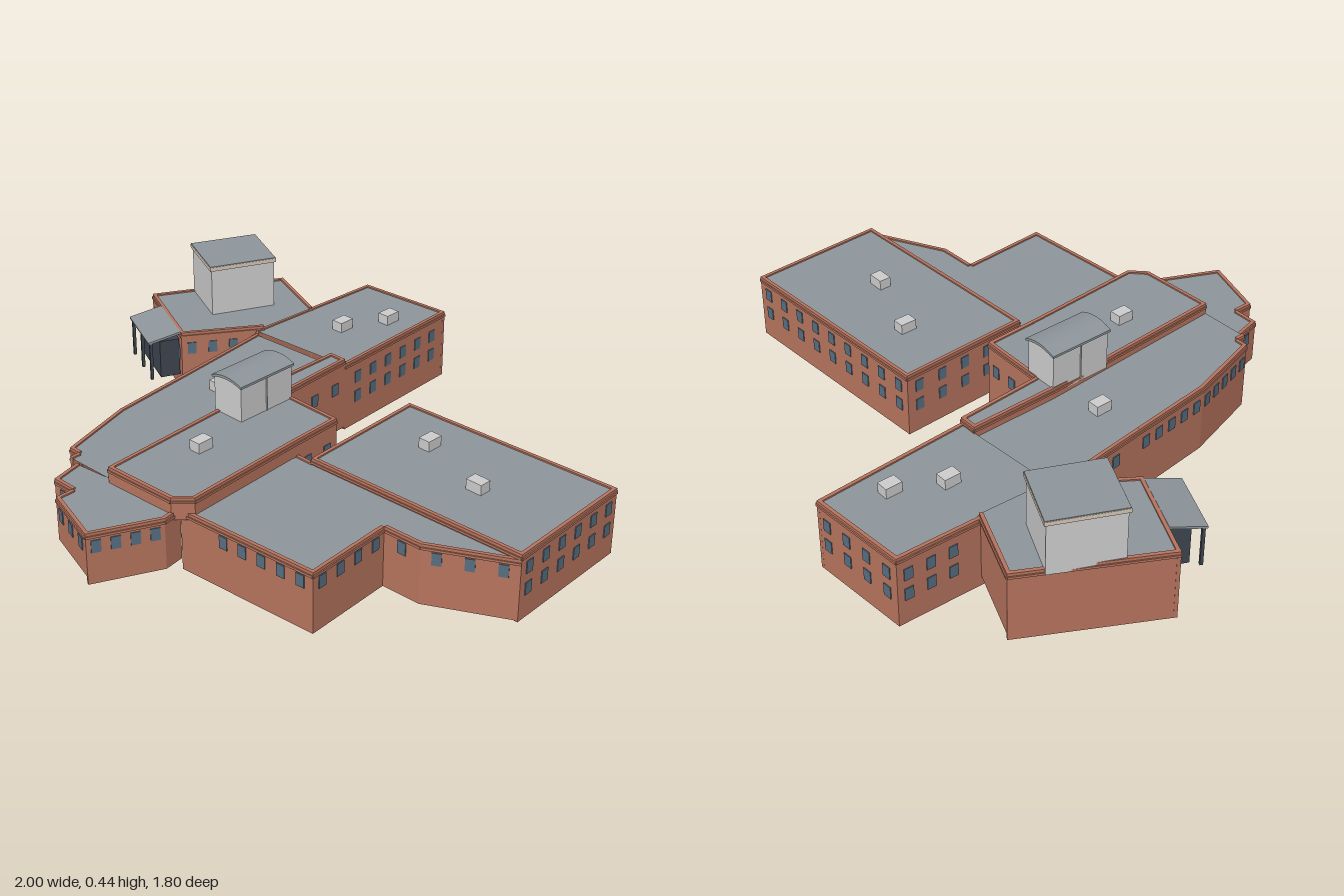
import * as THREE from 'three';

const mat = (color) => new THREE.MeshStandardMaterial({ color, side: THREE.DoubleSide, flatShading: true });
const BRICK = mat(0xb5735d), ROOF = mat(0x8d959a), GLASS = mat(0x566d80);
const GREY = mat(0xcccccc), TRIM = mat(0xd2c4b4), DARK = mat(0x3c444e);
const T = 0.012; // wall thickness

function add(parent, name, geometry, material, x = 0, y = 0, z = 0) {
  const m = new THREE.Mesh(geometry, material);
  m.name = name;
  m.position.set(x, y, z);
  parent.add(m);
  return m;
}
const box = (w, h, d) => new THREE.BoxGeometry(w, h, d);

// plan outline (x, z) as a shape that lies flat after rotateX(-90 degrees)
const planShape = (pts) => new THREE.Shape(pts.map(([x, z]) => new THREE.Vector2(x, -z)));

// upright prism over a plan outline
function prism(parent, name, pts, y0, y1, material) {
  const g = new THREE.ExtrudeGeometry(planShape(pts), { depth: y1 - y0, bevelEnabled: false });
  return add(parent, name, g.rotateX(-Math.PI / 2), material, 0, y0, 0);
}

// outline scaled about its centre
function scaled(pts, s) {
  const cx = pts.reduce((a, p) => a + p[0], 0) / pts.length;
  const cz = pts.reduce((a, p) => a + p[1], 0) / pts.length;
  return pts.map(([x, z]) => [cx + (x - cx) * s, cz + (z - cz) * s]);
}

// hollow wing: brick walls per edge, flat roof just below the wall tops, rows of windows
// windows[edge] = [count, [row heights], start, end]
function wing(parent, { name, pts, base, top, bases = {}, skip = [], windows = {} }) {
  const g = new THREE.Group();
  g.name = name;
  parent.add(g);
  const roof = new THREE.ShapeGeometry(planShape(pts)).rotateX(-Math.PI / 2);
  add(g, 'roof', roof, ROOF, 0, top - 0.005, 0);
  pts.forEach(([ax, az], i) => {
    if (skip.includes(i)) return;
    const [bx, bz] = pts[(i + 1) % pts.length];
    const len = Math.hypot(bx - ax, bz - az);
    const y0 = bases[i] ?? base;
    const side = new THREE.Group();
    side.name = 'side';
    side.position.set(ax, 0, az);
    side.rotation.y = -Math.atan2(bz - az, bx - ax);
    g.add(side);
    add(side, 'wall', box(len, top - y0, T), BRICK, len / 2, (top + y0) / 2, T / 2);
    add(side, 'cornice', box(len, 0.008, 0.006), BRICK, len / 2, top - 0.014, -0.001);
    const [n, rows, t0 = 0, t1 = 1] = windows[i] ?? [0, []];
    for (const y of rows)
      for (let k = 0; k < n; k++)
        add(side, 'window', box(0.03, 0.042, 0.004), GLASS, len * (t0 + ((k + 0.5) / n) * (t1 - t0)), y, -0.001);
  });
}

export function createModel() {
  const model = new THREE.Group();
  model.name = 'building';
  const two = [0.185, 0.112], one = [0.178];

  wing(model, {
    name: 'northWing', base: 0.005, top: 0.255, skip: [2],
    pts: [[-0.512, -0.88], [-0.163, -0.905], [-0.135, -0.36], [-0.535, -0.335]],
    windows: { 0: [4, two], 1: [6, two, 0.06, 0.95], 3: [3, two, 0.58, 1] },
  });
  wing(model, {
    name: 'westWing', base: 0, top: 0.24, skip: [0, 1, 2, 3],
    pts: [[-0.535, -0.335], [-0.2, -0.35], [-0.2, -0.05], [-0.157, 0.652], [-0.335, 0.655],
      [-0.335, 0.622], [-0.377, 0.622], [-0.457, 0.35], [-0.49, 0.05]],
    bases: { 4: 0.05 },
    windows: { 6: [5, one], 7: [5, one], 8: [5, one, 0.2, 1] },
  });
  wing(model, {
    name: 'middleBlock', base: 0.015, top: 0.275,
    pts: [[-0.2, -0.36], [-0.135, -0.36], [-0.117, -0.05], [0.125, -0.045], [0.132, 0.135],
      [0.16, 0.59], [0.11, 0.64], [-0.157, 0.652], [-0.2, -0.05]],
    bases: { 0: 0.22, 4: 0.2, 5: 0.2, 6: 0.2, 7: 0.21, 8: 0.21 },
    windows: { 1: [3, one], 2: [3, one], 3: [2, one] },
  });
  wing(model, {
    name: 'southBlock', base: 0.075, top: 0.225, skip: [0, 7],
    pts: [[-0.31, 0.65], [0.11, 0.604], [0.12, 0.674], [0.02, 0.89], [-0.2, 0.82], [-0.2, 0.757], [-0.285, 0.757]],
    bases: { 1: 0.05, 2: 0.05 },
    windows: { 2: [4, one], 3: [3, one], 5: [1, one], 6: [1, one] },
  });
  wing(model, {
    name: 'eastWing', base: 0.01, top: 0.24, bases: { 2: 0.2 },
    pts: [[0.18, -0.33], [0.97, -0.367], [0.993, 0.115], [0.2, 0.145]],
    windows: { 0: [9, two], 1: [6, two], 3: [5, two] },
  });
  wing(model, {
    name: 'southEastBlock', base: 0.015, top: 0.222, skip: [1, 6],
    pts: [[0.135, 0.135], [0.2, 0.135], [0.993, 0.115], [0.735, 0.25], [0.6, 0.255], [0.62, 0.57], [0.115, 0.607]],
    windows: { 2: [3, one], 3: [1, one], 4: [4, one], 5: [5, one, 0.02, 0.74] },
  });
  wing(model, {
    name: 'cornerHall', base: 0.04, top: 0.265, skip: [1], bases: { 4: 0.02 },
    pts: [[-0.76, -0.69], [-0.51, -0.588], [-0.522, -0.36], [-0.685, -0.12], [-0.995, -0.262]],
    windows: { 2: [4, [0.205]], 3: [5, one] },
  });

  // tower on the corner hall with a projecting cap
  const tower = [[-0.82, -0.61], [-0.618, -0.515], [-0.72, -0.295], [-0.925, -0.39]];
  prism(model, 'tower', scaled(tower, 0.95), 0.25, 0.43, GREY);
  prism(model, 'towerCap', tower, 0.428, 0.442, TRIM);
  prism(model, 'towerRoof', scaled(tower, 0.99), 0.442, 0.445, ROOF);

  // penthouse with a gently arched roof, running front to back
  const house = new THREE.Shape();
  house.moveTo(-0.06, 0.25).lineTo(0.06, 0.25).lineTo(0.06, 0.39);
  house.quadraticCurveTo(0, 0.415, -0.06, 0.39);
  const lid = new THREE.Shape();
  lid.moveTo(-0.066, 0.388).quadraticCurveTo(0, 0.414, 0.066, 0.388).lineTo(0.066, 0.396);
  lid.quadraticCurveTo(0, 0.425, -0.066, 0.396);
  const run = (s, depth) => new THREE.ExtrudeGeometry(s, { depth, bevelEnabled: false, curveSegments: 6 });
  add(model, 'penthouse', run(house, 0.222), GREY, -0.136, 0, -0.046);
  add(model, 'penthouseRoof', run(lid, 0.234), ROOF, -0.136, 0, -0.052);
  add(model, 'penthouseSeam', box(0.126, 0.13, 0.004), GREY, -0.136, 0.325, 0.065);

  // rooftop units: x, roof height, z
  for (const [x, y, z] of [[-0.26, 0.25, -0.715], [-0.335, 0.25, -0.56], [-0.335, 0.235, 0.025],
    [-0.045, 0.27, 0.375], [0.405, 0.235, -0.17]])
    add(model, 'rooftopUnit', box(0.042, 0.035, 0.058), GREY, x, y + 0.0175, z);
  add(model, 'rooftopUnit', box(0.058, 0.035, 0.042), GREY, 0.675, 0.2525, -0.075);

  // glazed porch with a sloping canopy on posts
  const porch = new THREE.Group();
  porch.name = 'porch';
  porch.position.set(-0.82, 0, -0.118);
  porch.rotation.y = -Math.atan2(0.09, 0.2);
  model.add(porch);
  add(porch, 'canopy', box(0.225, 0.008, 0.12), ROOF, 0, 0.25, 0).rotation.x = 0.2;
  add(porch, 'glazedBox', box(0.2, 0.138, 0.07), DARK, 0.008, 0.169, -0.018);
  for (const x of [-0.104, 0, 0.104]) add(porch, 'post', box(0.01, 0.142, 0.01), DARK, x, 0.168, 0.048);
  add(porch, 'beam', box(0.22, 0.012, 0.01), DARK, 0, 0.234, 0.048);
  return model;
}
